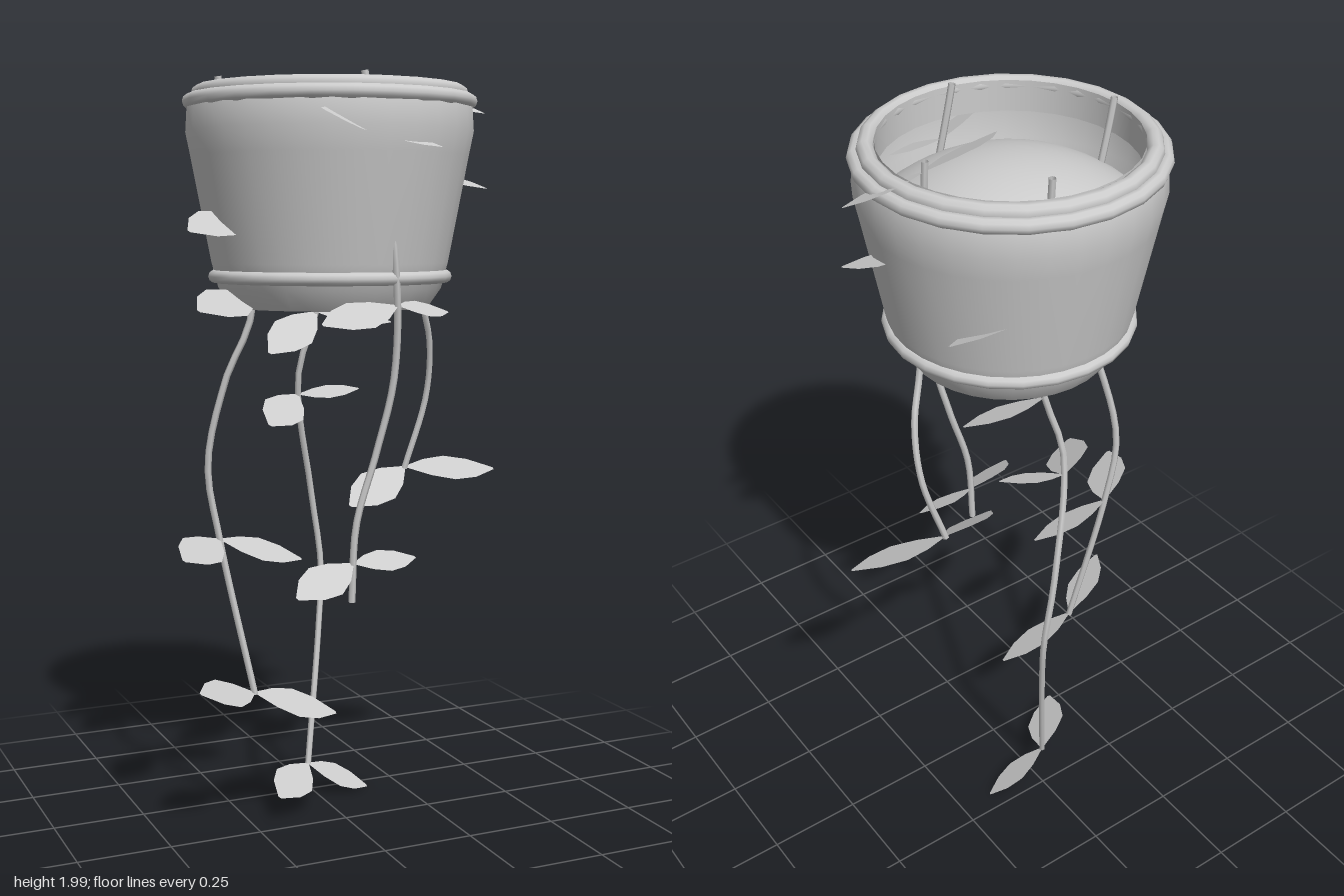
import * as THREE from 'three';

const CX = -0.04, CZ = -0.015; // pot axis

export function createModel() {
  const root = new THREE.Group();
  root.name = 'hangingVinePot';
  const clay = new THREE.MeshStandardMaterial({ color: 0xcccccc, side: THREE.DoubleSide });
  clay.name = 'plain grey';

  const add = (parent, name, geo) => {
    const m = new THREE.Mesh(geo, clay);
    m.name = name;
    parent.add(m);
    return m;
  };
  const lathe = (pts) => new THREE.LatheGeometry(pts.map((p) => new THREE.Vector2(...p)), 32);

  // Pot: outer wall, base, inner lip and soil mound
  const pot = new THREE.Group();
  pot.name = 'pot';
  pot.position.set(CX, 0, CZ);
  root.add(pot);
  add(pot, 'potBase', lathe([[0, 1.405], [0.255, 1.405]]));
  add(pot, 'potWall', lathe([[0.255, 1.405], [0.29, 1.455], [0.307, 1.52],
    [0.358, 1.79], [0.37, 1.85], [0.366, 1.91], [0.355, 1.93]]));
  add(pot, 'potLip', lathe([[0.312, 1.96], [0.312, 1.88]]));
  add(pot, 'soil', new THREE.SphereGeometry(0.5, 32, 8, 0, Math.PI * 2, 0, 0.76)).position.y = 1.4;

  // Rounded rings around the rim and the foot
  const addRing = (name, radius, tube, y) => {
    const ring = add(pot, name, new THREE.TorusGeometry(radius, tube, 10, 24));
    ring.rotation.x = Math.PI / 2;
    ring.position.y = y;
  };
  addRing('rimRing', 0.358, 0.019, 1.925);
  addRing('rimBead', 0.333, 0.021, 1.945);
  addRing('footRing', 0.299, 0.017, 1.485);

  // Leaf blade: a flat pointed outline along d, facing up and forward
  const up = new THREE.Vector3(0.25, 0.82, 0.38);
  const halfWidths = [0.012, 0.17, 0.25, 0.19, 0.02];
  function leafGeometry(base, d) {
    const side = new THREE.Vector3().crossVectors(up, d).setLength(d.length());
    const corners = [], faces = [];
    halfWidths.forEach((w, i) => {
      for (const s of [-w, w]) {
        corners.push(base.clone().addScaledVector(d, i / 4).addScaledVector(side, s));
      }
      const k = 2 * i;
      if (i) faces.push(k - 2, k, k - 1, k - 1, k, k + 1);
    });
    const g = new THREE.BufferGeometry().setFromPoints(corners);
    g.setIndex(faces);
    g.computeVertexNormals();
    return g;
  }

  // Point of a falling stem at a given height
  function pointAtHeight(curve, y) {
    let lo = 0, hi = 1;
    for (let i = 0; i < 20; i++) {
      const mid = (lo + hi) / 2;
      if (curve.getPoint(mid).y > y) lo = mid;
      else hi = mid;
    }
    return curve.getPoint(lo);
  }

  // Vine: a stem through the given points; each node is a height on the stem
  // followed by its leaves as [degrees from +x towards +z, rise, reach]
  function addVine(name, path, nodes) {
    const vine = new THREE.Group();
    vine.name = name;
    root.add(vine);
    const curve = new THREE.CatmullRomCurve3(path.map((p) => new THREE.Vector3(...p)));
    add(vine, 'stem', new THREE.TubeGeometry(curve, 32, 0.009, 6));
    for (const [height, ...leaves] of nodes) {
      const base = pointAtHeight(curve, height);
      for (const [degrees, rise, reach] of leaves) {
        const a = THREE.MathUtils.degToRad(degrees);
        const d = new THREE.Vector3(reach * Math.cos(a), rise, reach * Math.sin(a));
        add(vine, 'leaf', leafGeometry(base, d));
      }
    }
  }

  addVine('frontVine',
    [[-0.07, 1.98, 0.265], [0, 1.55, 0.29], [0.018, 1.25, 0.255],
      [-0.02, 1.05, 0.23], [-0.07, 0.87, 0.22], [-0.08, 0.67, 0.215]],
    [[1.84, [153, 0.04, 0.2], [30, -0.04, 0.16]],
      [1.42, [166, -0.04, 0.23], [-12, -0.02, 0.16]],
      [0.77, [152, -0.05, 0.22], [-3, 0, 0.18]]]);

  addVine('backVine',
    [[0.03, 1.98, -0.265], [0.02, 1.42, -0.23], [-0.03, 1.2, -0.26], [0.03, 0.87, -0.315],
      [0.06, 0.65, -0.315], [0.04, 0.48, -0.285], [-0.025, 0.1, -0.21]],
    [[1.65, [7, -0.04, 0.24]],
      [1.38, [147, -0.1, 0.22], [13, -0.03, 0.21]],
      [1.15, [131, -0.06, 0.23], [19, 0.015, 0.17]],
      [0.1, [132, -0.02, 0.23], [3, -0.09, 0.18]]]);

  addVine('rightVine',
    [[-0.34, 1.98, -0.02], [-0.255, 1.41, -0.015], [-0.32, 1.22, -0.045],
      [-0.36, 1, -0.075], [-0.33, 0.8, -0.075], [-0.25, 0.38, -0.035]],
    [[1.64, [144, -0.04, 0.24]],
      [1.44, [141, -0.03, 0.26]],
      [0.8, [131, -0.01, 0.24], [9, -0.065, 0.22]],
      [0.385, [149, 0.05, 0.22], [4, -0.08, 0.23]]]);

  addVine('leftVine',
    [[0.22, 1.99, -0.055], [0.23, 1.43, -0.02], [0.27, 1.3, -0.05],
      [0.275, 1.15, -0.08], [0.22, 0.95, -0.1]],
    [[1.965, [164, 0, 0.25], [16, -0.055, 0.19]],
      [1.76, [39, -0.05, 0.19]],
      [0.955, [155, -0.08, 0.23], [9, -0.015, 0.26]]]);

  return root;
}
